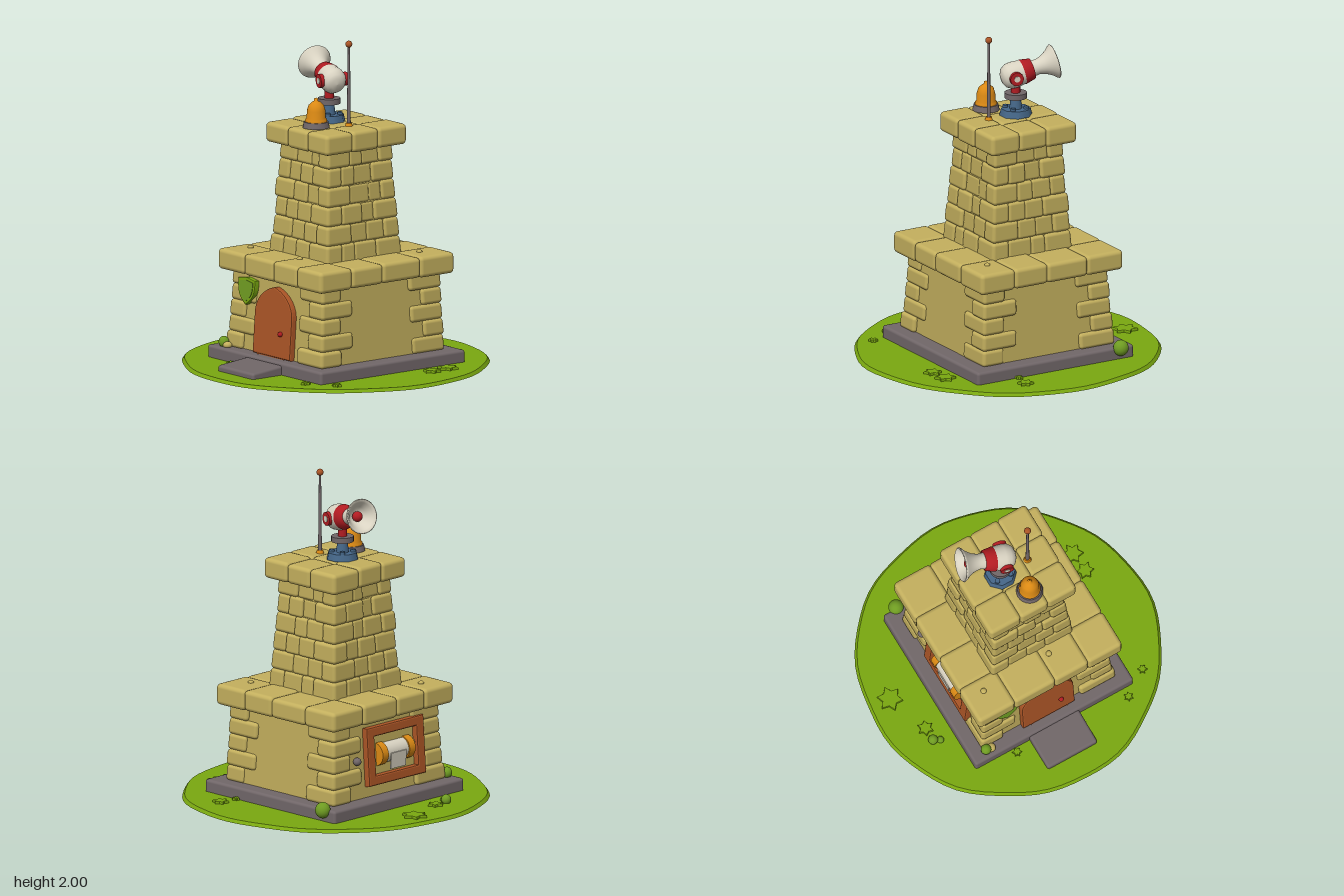
import * as THREE from 'three';
import { mergeGeometries } from 'three/addons/utils/BufferGeometryUtils.js';
import { RoundedBoxGeometry } from 'three/addons/geometries/RoundedBoxGeometry.js';

const mat = (name, color) => Object.assign(new THREE.MeshStandardMaterial({ color }), { name });

export function createModel() {
  const stone = mat('sandstone', 0xc4b05e), grey = mat('grey stone', 0x716769), grass = mat('grass', 0x7aa810),
    leaf = mat('leaf green', 0x6f9c22), wood = mat('frame wood', 0xab5526), door = mat('door wood', 0x984820),
    orange = mat('orange', 0xdc8a14), red = mat('red', 0xb21c22), cream = mat('cream', 0xd9d3c2), blue = mat('steel blue', 0x46688a);
  const root = new THREE.Group();
  root.name = 'watchtower';

  let seed = 7;
  const rnd = () => (seed = (seed * 16807) % 2147483647) / 2147483647;
  const add = (parent, name, geo, material, x = 0, y = 0, z = 0) => {
    const m = new THREE.Mesh(geo, material);
    m.name = name;
    m.position.set(x, y, z);
    parent.add(m);
    return m;
  };
  const group = (name, parent = root, x = 0, y = 0, z = 0) => {
    const g = new THREE.Group();
    g.name = name;
    g.position.set(x, y, z);
    parent.add(g);
    return g;
  };
  const cyl = (rt, rb, h, n = 24) => new THREE.CylinderGeometry(rt, rb, h, n);
  const ball = r => new THREE.SphereGeometry(r, 20, 14);
  const lathe = pts => new THREE.LatheGeometry(pts.map(p => new THREE.Vector2(...p)), 32);
  const extrude = (shape, depth, bevel = 0) => new THREE.ExtrudeGeometry(shape, {
    depth, curveSegments: 12, bevelEnabled: bevel > 0, bevelSize: bevel, bevelThickness: bevel, bevelOffset: -bevel, bevelSegments: 2,
  });
  // Rounded block between two corners
  const block = (x0, x1, y0, y1, z0, z1, r = 0.022) =>
    new RoundedBoxGeometry(x1 - x0, y1 - y0, z1 - z0, 2, r).translate((x0 + x1) / 2, (y0 + y1) / 2, (z0 + z1) / 2);
  // Narrow a geometry towards the top
  const taper = (geo, y0, y1, k) => {
    const p = geo.attributes.position;
    for (let i = 0; i < p.count; i++) {
      const s = 1 + (k - 1) * (p.getY(i) - y0) / (y1 - y0);
      p.setX(i, p.getX(i) * s);
      p.setZ(i, p.getZ(i) * s);
    }
    return geo;
  };
  // Courses of interlocking corner stones, with optional stones between them
  const courses = (H, y0, y1, rows, long, short, middle) => {
    const out = [], rh = (y1 - y0) / rows;
    for (let i = 0; i < rows; i++) for (let f = 0; f < 4; f++) {
      const [a, b] = i % 2 ? [short, long] : [long, short];
      const ya = y0 + i * rh, yb = ya + rh + 0.003, o = rnd() * 0.012, turn = f * Math.PI / 2;
      out.push(block(H - a, H - o, ya, yb, H - b, H - o).rotateY(turn));
      if (!middle) continue;
      const l = -H + b, r = H - a, cut = l + (r - l) * (0.35 + 0.3 * rnd());
      for (const [p, q] of [[l, cut], [cut, r]]) {
        const d = 0.004 + rnd() * 0.02;
        out.push(block(p - 0.003, q + 0.003, ya, yb, H - 0.1, H - d, 0.018).rotateY(turn));
      }
    }
    return out;
  };
  // Grid of slabs, leaving out those hidden in the middle
  const slabs = (cuts, y0, y1, hollow) => {
    const out = [], n = cuts.length - 1;
    for (let i = 0; i < n; i++) for (let j = 0; j < n; j++) {
      if (hollow && i > 0 && j > 0 && i < n - 1 && j < n - 1) continue;
      const e = 0.003;
      out.push(block(cuts[i] - e, cuts[i + 1] + e, y0 + rnd() * 0.006, y1 - rnd() * 0.008, cuts[j] - e, cuts[j + 1] + e, 0.026));
    }
    return out;
  };
  const masonry = (name, geos) => {
    const m = add(root, name, mergeGeometries(geos), stone, 0, 0, -0.005);
    m.scale.z = 1.035;
    return m;
  };

  // Ground disc with an uneven rim
  const ground = new THREE.CylinderGeometry(0.91, 0.925, 0.02, 72);
  const gp = ground.attributes.position;
  for (let i = 0; i < gp.count; i++) {
    const a = Math.atan2(gp.getZ(i), gp.getX(i));
    const s = 1 + 0.007 * Math.sin(5 * a + 1) + 0.005 * Math.sin(11 * a);
    gp.setX(i, gp.getX(i) * s);
    gp.setZ(i, gp.getZ(i) * s);
  }
  add(root, 'ground', ground, grass, 0, 0.01, 0);

  // Plinth and doorstep
  add(root, 'plinth', block(-0.55, 0.55, 0.005, 0.095, -0.565, 0.55, 0.018), grey);
  const step = block(-0.175, 0.17, 0.005, 0.085, 0.45, 0.77, 0.016);
  const sp = step.attributes.position;
  for (let i = 0; i < sp.count; i++) if (sp.getY(i) > 0.04) sp.setY(i, sp.getY(i) - Math.max(0, sp.getZ(i) - 0.55) * 0.14);
  add(root, 'doorstep', step, grey);

  // Lower storey: smooth walls with corner stones, then a ledge
  masonry('lowerWalls', [taper(new THREE.BoxGeometry(0.895, 0.49, 0.895).translate(0, 0.325, 0).toNonIndexed(), 0.09, 0.57, 0.93)]);
  masonry('lowerCornerStones', courses(0.472, 0.09, 0.575, 5, 0.25, 0.16, false).map(g => taper(g, 0.09, 0.57, 0.935)));
  masonry('ledge', slabs([-0.5, -0.25, 0.03, 0.26, 0.495], 0.56, 0.695, true));

  // Tower shaft and cap
  masonry('towerCore', [taper(new THREE.BoxGeometry(0.53, 0.7, 0.53).translate(0, 1.02, 0).toNonIndexed(), 0.67, 1.36, 0.82)]);
  masonry('towerStones', courses(0.292, 0.67, 1.37, 6, 0.2, 0.13, true).map(g => taper(g, 0.67, 1.36, 0.82)));
  masonry('towerCap', slabs([-0.3, -0.09, 0.1, 0.295], 1.345, 1.48, false));

  // Arched door
  const arch = (P, w, h, spring) => {
    const s = new P();
    s.moveTo(-w, 0);
    s.lineTo(w, 0);
    s.lineTo(w, spring);
    s.bezierCurveTo(w, spring + 0.1, w * 0.45, h - 0.015, 0, h);
    s.bezierCurveTo(-w * 0.45, h - 0.015, -w, spring + 0.1, -w, spring);
    return s;
  };
  const doorway = group('doorway', root, -0.005, 0.092, 0.41);
  doorway.rotation.x = -0.07;
  const frameShape = arch(THREE.Shape, 0.18, 0.425, 0.25);
  frameShape.holes.push(arch(THREE.Path, 0.12, 0.36, 0.23));
  add(doorway, 'doorFrame', extrude(frameShape, 0.075, 0.01), wood);
  add(doorway, 'doorPanel', extrude(arch(THREE.Shape, 0.13, 0.37, 0.23), 0.065), door);
  for (const x of [-0.04, 0.04]) add(doorway, 'doorPlankSeam', new THREE.BoxGeometry(0.006, 0.32, 0.006), wood, x, 0.165, 0.065);
  add(doorway, 'doorLock', new RoundedBoxGeometry(0.04, 0.05, 0.02, 2, 0.008), red, 0.085, 0.15, 0.072);
  add(doorway, 'doorKnob', ball(0.016), red, 0.085, 0.15, 0.09);

  // Wall shield
  const shieldShape = new THREE.Shape();
  shieldShape.moveTo(-0.082, 0.07);
  shieldShape.lineTo(0, 0.082);
  shieldShape.lineTo(0.082, 0.07);
  shieldShape.bezierCurveTo(0.085, -0.02, 0.06, -0.05, 0, -0.085);
  shieldShape.bezierCurveTo(-0.06, -0.05, -0.085, -0.02, -0.082, 0.07);
  const shield = group('shield', root, -0.28, 0.455, 0.435);
  shield.rotation.x = -0.07;
  add(shield, 'shieldRim', extrude(shieldShape, 0.025, 0.006), grass);
  add(shield, 'shieldFace', extrude(shieldShape, 0.006).scale(0.78, 0.78, 1), leaf, 0, 0, 0.028);

  // Side window holding a paper roll
  const side = group('sideWindow', root, -0.405, 0.34, 0.05);
  side.rotation.set(-0.07, -Math.PI / 2, 0, 'YXZ');
  const rect = (P, w, h) => new P([[-w, -h], [w, -h], [w, h], [-w, h]].map(p => new THREE.Vector2(...p)));
  const winShape = rect(THREE.Shape, 0.245, 0.18);
  winShape.holes.push(rect(THREE.Path, 0.18, 0.12));
  add(side, 'windowFrame', extrude(winShape, 0.055, 0.01), wood);
  add(side, 'windowBack', new THREE.BoxGeometry(0.4, 0.28, 0.02), door, 0, 0, 0.015);
  for (const s of [-1, 1]) add(side, 'rollEnd', cyl(0.072, 0.072, 0.05).rotateZ(Math.PI / 2), orange, s * 0.115, 0, 0.015);
  add(side, 'paperRoll', cyl(0.064, 0.064, 0.2).rotateZ(Math.PI / 2), cream, 0, 0, 0.015);
  add(side, 'paperSheet', new THREE.BoxGeometry(0.13, 0.1, 0.006), cream, 0, -0.05, 0.075).rotation.x = 0.15;
  add(side, 'sideLever', ball(0.025), grey, -0.32, -0.01, 0.045);

  // Horn stand
  const stand = group('hornStand', root, -0.06, 1.475, 0);
  add(stand, 'standBase', cyl(0.09, 0.1, 0.042, 8).rotateY(Math.PI / 8), blue, 0, 0.024, 0);
  for (let i = 0; i < 4; i++) {
    const a = Math.PI / 4 + i * Math.PI / 2;
    add(stand, 'baseBolt', cyl(0.016, 0.016, 0.02, 8), blue, 0.065 * Math.cos(a), 0.05, 0.065 * Math.sin(a));
  }
  add(stand, 'standPost', cyl(0.03, 0.04, 0.09, 16), blue, 0, 0.075, 0);
  add(stand, 'standCollar', cyl(0.068, 0.068, 0.034), grey, 0, 0.127, 0);
  add(stand, 'standNeck', cyl(0.028, 0.028, 0.06, 16), red, 0, 0.168, 0);

  // Horn, pointing along its own -x
  const horn = group('horn', root, 0.035, 1.715, 0.012);
  horn.rotation.set(0, -0.245, -0.235, 'YZX');
  const along = pts => lathe(pts).rotateZ(Math.PI / 2);
  add(horn, 'hornBody', along([[0, 0], [0.035, 0.004], [0.06, 0.018], [0.077, 0.045], [0.081, 0.08], [0.074, 0.14]]), cream);
  add(horn, 'hornBand', along([[0.07, 0.135], [0.077, 0.138], [0.064, 0.2], [0.04, 0.203]]), red);
  add(horn, 'hornBell', along([[0.05, 0.198], [0.047, 0.235], [0.058, 0.275], [0.08, 0.312], [0.1, 0.334], [0.107, 0.345],
    [0.1, 0.351], [0.085, 0.335], [0.06, 0.3], [0.035, 0.262], [0, 0.255]]), cream);
  add(horn, 'hornCore', ball(0.032), red, -0.295, 0, 0);
  for (const s of [-1, 1]) {
    add(horn, 'hornPivot', cyl(0.042, 0.042, 0.024, 16).rotateX(Math.PI / 2), red, -0.075, 0, s * 0.08);
    add(horn, 'pivotCap', cyl(0.019, 0.019, 0.006, 12).rotateX(Math.PI / 2), cream, -0.075, 0, s * 0.092);
  }

  // Alarm bell
  const bell = group('alarmBell', root, 0.04, 1.475, 0.18);
  add(bell, 'bellBase', cyl(0.074, 0.082, 0.036), grey, 0, 0.02, 0);
  add(bell, 'bellDome', lathe([[0.066, 0.036], [0.066, 0.05], [0.058, 0.06], [0.056, 0.105], [0.046, 0.138], [0.025, 0.158],
    [0.012, 0.164], [0.012, 0.178], [0, 0.184]]), orange);

  // Antenna
  add(root, 'antennaFoot', cyl(0.018, 0.024, 0.02, 16), orange, 0.13, 1.485, 0);
  add(root, 'antennaRod', cyl(0.007, 0.012, 0.5, 12), grey, 0.13, 1.725, 0);
  add(root, 'antennaTip', ball(0.021), wood, 0.13, 1.979, 0);

  // Leafy rosettes on the grass: x, z, radius
  for (const [x, z, r] of [[-0.77, -0.1, 0.08], [-0.68, 0.17, 0.05], [0.29, -0.69, 0.05], [0.65, -0.35, 0.065],
    [0.66, -0.22, 0.055], [0.64, 0.5, 0.03], [0.48, 0.61, 0.03], [-0.28, 0.58, 0.03], [0.27, -0.58, 0.025]]) {
    const pts = [];
    for (let i = 0; i < 12; i++) {
      const a = i * Math.PI / 6 + x * 9, q = i % 2 ? r * 0.62 : r;
      pts.push(new THREE.Vector2(q * Math.cos(a), q * Math.sin(a)));
    }
    add(root, 'rosette', extrude(new THREE.Shape(pts), 0.016, 0.006).rotateX(-Math.PI / 2), grass, x, 0.015, z);
  }

  // Bushes and a pebble: x, y, z, radius, height stretch
  for (const [x, y, z, r, s] of [[-0.455, 0.09, -0.57, 0.047, 1.05], [-0.45, 0.12, 0.5, 0.032, 1.1], [-0.68, 0.04, 0.26, 0.03, 1.1],
    [-0.64, 0.03, 0.28, 0.022, 0.9]]) add(root, 'bush', ball(r), leaf, x, y, z).scale.y = s;
  add(root, 'pebble', ball(0.028), stone, -0.415, 0.105, 0.5).scale.y = 0.8;
  for (const [x, z] of [[-0.38, 0.35], [0.36, -0.36], [0.08, 0.34]]) add(root, 'ledgePebble', ball(0.018), stone, x, 0.695, z).scale.y = 0.7;

  return root;
}
